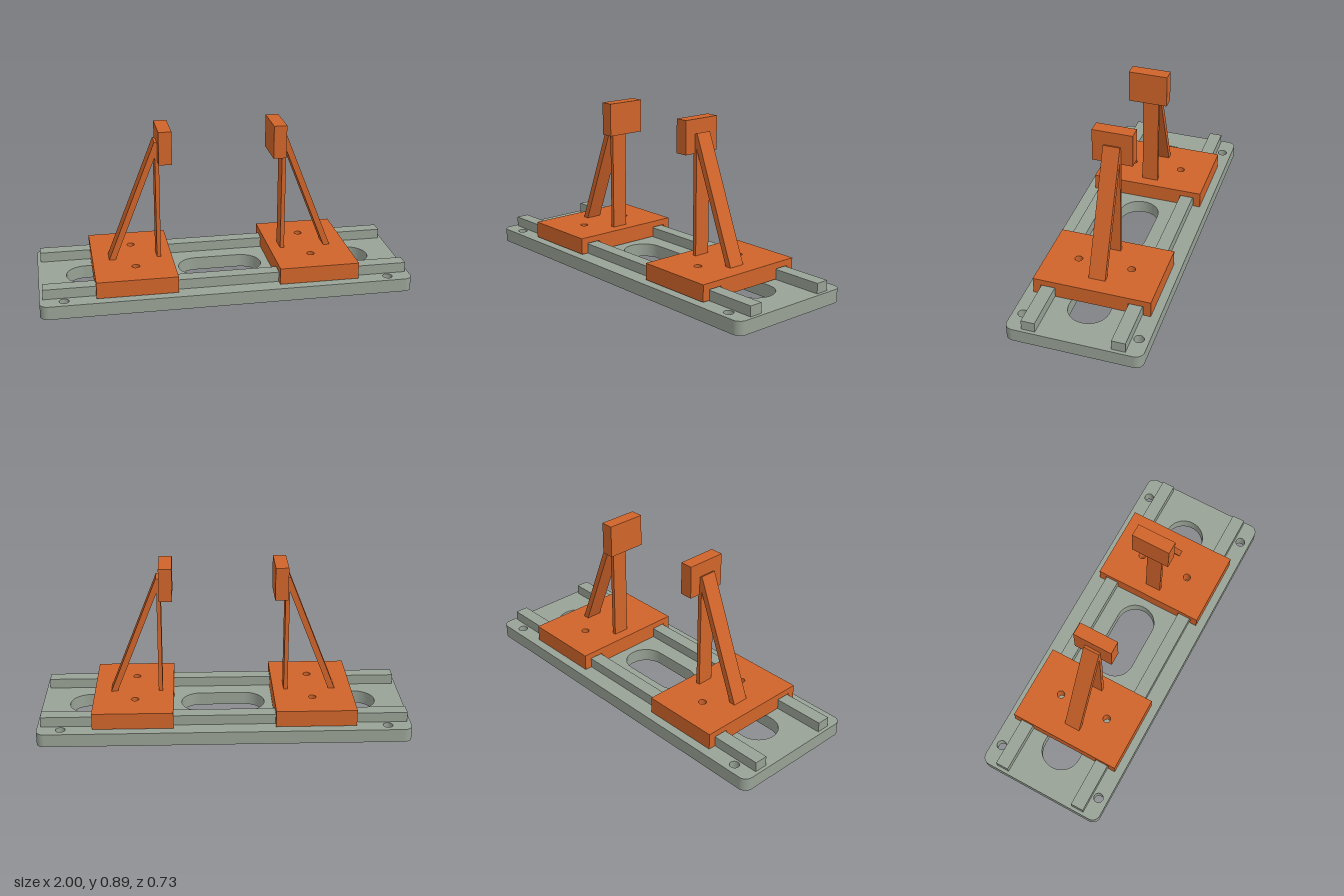
import * as THREE from 'three';

const grey = new THREE.MeshStandardMaterial({ color: 0x98a296 });
const orange = new THREE.MeshStandardMaterial({ color: 0xd0642a });

function add(parent, name, geometry, material) {
  const mesh = new THREE.Mesh(geometry, material);
  mesh.name = name;
  parent.add(mesh);
  return mesh;
}

// Box given by its limits on each axis
function block(x0, x1, y0, y1, z0, z1) {
  return new THREE.BoxGeometry(x1 - x0, y1 - y0, z1 - z0)
    .translate((x0 + x1) / 2, (y0 + y1) / 2, (z0 + z1) / 2);
}

// Rounded outline (radius 0 gives a plain rectangle); also makes slots
function outline(Type, cx, cz, hw, hd, r) {
  const p = new Type();
  if (r === 0) {
    p.moveTo(cx - hw, cz - hd).lineTo(cx + hw, cz - hd);
    p.lineTo(cx + hw, cz + hd).lineTo(cx - hw, cz + hd).closePath();
    return p;
  }
  p.absarc(cx + hw - r, cz + hd - r, r, 0, Math.PI / 2);
  p.absarc(cx - hw + r, cz + hd - r, r, Math.PI / 2, Math.PI);
  p.absarc(cx - hw + r, cz - hd + r, r, Math.PI, Math.PI * 1.5);
  p.absarc(cx + hw - r, cz - hd + r, r, Math.PI * 1.5, Math.PI * 2);
  p.closePath();
  return p;
}

function circle(x, z, r) {
  return new THREE.Path().absarc(x, z, r, 0, Math.PI * 2);
}

// Flat plate lying between two heights
function plate(shape, y0, y1) {
  return new THREE.ExtrudeGeometry(shape, { depth: y1 - y0, bevelEnabled: false, curveSegments: 12 })
    .rotateX(-Math.PI / 2).translate(0, y0, 0);
}

function createBase() {
  const base = new THREE.Group();
  base.name = 'base';

  // Plate with three slots and four corner holes
  const shape = outline(THREE.Shape, 0, 0, 1, 0.363, 0.045);
  for (const x of [-0.618, 0, 0.618]) {
    shape.holes.push(outline(THREE.Path, x, 0, 0.23, 0.109, 0.108));
  }
  for (const sx of [-1, 1]) {
    for (const sz of [-1, 1]) shape.holes.push(circle(sx * 0.873, sz * 0.309, 0.026));
  }
  add(base, 'basePlate', plate(shape, 0, 0.073), grey);

  // Guide rails
  add(base, 'frontRail', block(-0.982, 0.982, 0.073, 0.128, 0.2, 0.273), grey);
  add(base, 'backRail', block(-0.982, 0.982, 0.073, 0.128, -0.273, -0.2), grey);
  return base;
}

function createCarriage(name) {
  const g = new THREE.Group();
  g.name = name;
  const x0 = 0.273, x1 = 0.705, cx = (x0 + x1) / 2, hw = (x1 - x0) / 2;
  const bottom = 0.077, grooveTop = 0.133, top = 0.167;

  // Sliding block: drilled top and centre, with a groove over each rail
  const drilled = (halfDepth) => {
    const s = outline(THREE.Shape, cx, 0, hw, halfDepth, 0);
    for (const z of [-0.146, 0.146]) s.holes.push(circle(0.481, z, 0.021));
    return s;
  };
  add(g, 'carriageTop', plate(drilled(0.318), grooveTop, top), orange);
  add(g, 'carriageCentre', plate(drilled(0.197), bottom, grooveTop), orange);
  add(g, 'frontLip', block(x0, x1, bottom, grooveTop, 0.277, 0.318), orange);
  add(g, 'backLip', block(x0, x1, bottom, grooveTop, -0.318, -0.277), orange);

  // Upright post, pad and slanted brace
  add(g, 'post', block(0.333, 0.355, top, 0.81, -0.045, 0.045), orange);
  add(g, 'pad', block(0.272, 0.342, 0.715, 0.895, -0.108, 0.108), orange);
  const side = new THREE.Shape();
  side.moveTo(0.615, top).lineTo(0.357, 0.823).lineTo(0.327, 0.811).lineTo(0.58, top).closePath();
  add(g, 'brace', new THREE.ExtrudeGeometry(side, { depth: 0.09, bevelEnabled: false })
    .translate(0, 0, -0.045), orange);
  return g;
}

export function createModel() {
  const model = new THREE.Group();
  model.name = 'slidingClamp';
  const left = createCarriage('leftCarriage');
  const right = createCarriage('rightCarriage');
  right.rotation.y = Math.PI; // faces the left carriage
  model.add(createBase(), left, right);
  return model;
}
